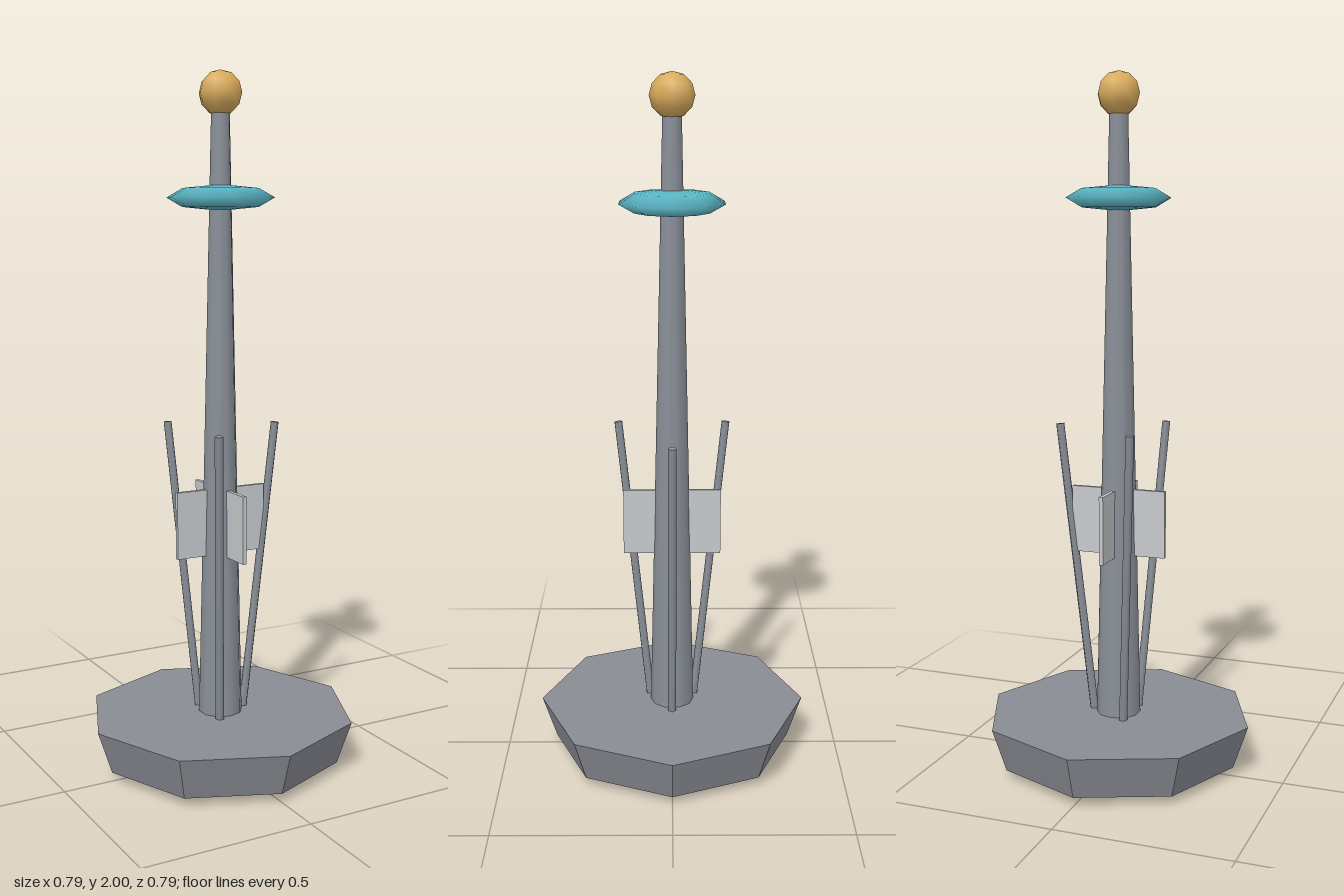
import * as THREE from 'three';

const material = (name, color, flatShading = false) => {
  const m = new THREE.MeshStandardMaterial({ color, flatShading });
  m.name = name;
  return m;
};

export function createModel() {
  const model = new THREE.Group();
  model.name = 'mastTower';
  const stone = material('baseGrey', 0x8a8c94, true);
  const steel = material('mastGrey', 0x8a9099);
  const pale = material('finGrey', 0xc6c9cc);
  const teal = material('dishTeal', 0x5ab5c4);
  const gold = material('beaconGold', 0xd9ab5c);

  const add = (name, geometry, mat, x, y, z, parent = model) => {
    const mesh = new THREE.Mesh(geometry, mat);
    mesh.name = name;
    mesh.position.set(x, y, z);
    parent.add(mesh);
    return mesh;
  };

  // Octagonal foundation, wider at the top
  add('base', new THREE.CylinderGeometry(0.395, 0.353, 0.125, 8), stone, 0, 0.0925, 0);

  // Tapered mast
  add('mast', new THREE.CylinderGeometry(0.026, 0.064, 1.75, 10), steel, 0, 1.03, 0);

  // Flattened dish and round beacon
  add('dish', new THREE.SphereGeometry(0.153, 10, 4).scale(1, 0.24, 1), teal, 0, 1.653, 0);
  add('beacon', new THREE.SphereGeometry(0.0625, 8, 6), gold, 0, 1.9375, 0);

  // Three struts leaning outwards, passing down through the base
  const low = new THREE.Vector3(0, 0.006, 0.059);
  const high = new THREE.Vector3(0, 1.006, 0.183);
  const strutGeometry = new THREE.CylinderGeometry(0.0125, 0.0125, low.distanceTo(high), 5);
  for (let i = 0; i < 3; i++) {
    const pivot = new THREE.Group();
    pivot.name = 'strutPivot' + (i + 1);
    pivot.rotation.y = Math.PI / 2 + (i * Math.PI * 2) / 3;
    model.add(pivot);
    const mid = low.clone().add(high).multiplyScalar(0.5);
    const strut = add('strut', strutGeometry, steel, 0, mid.y, mid.z, pivot);
    strut.rotation.x = Math.atan2(high.z - low.z, high.y - low.y);
  }

  // Four fins around the mast
  const finGeometry = new THREE.BoxGeometry(0.012, 0.195, 0.11);
  for (let i = 0; i < 4; i++) {
    const a = (i * Math.PI) / 2;
    const fin = add('fin', finGeometry, pale, Math.sin(a) * 0.087, 0.728, Math.cos(a) * 0.087);
    fin.rotation.y = a;
  }

  return model;
}
